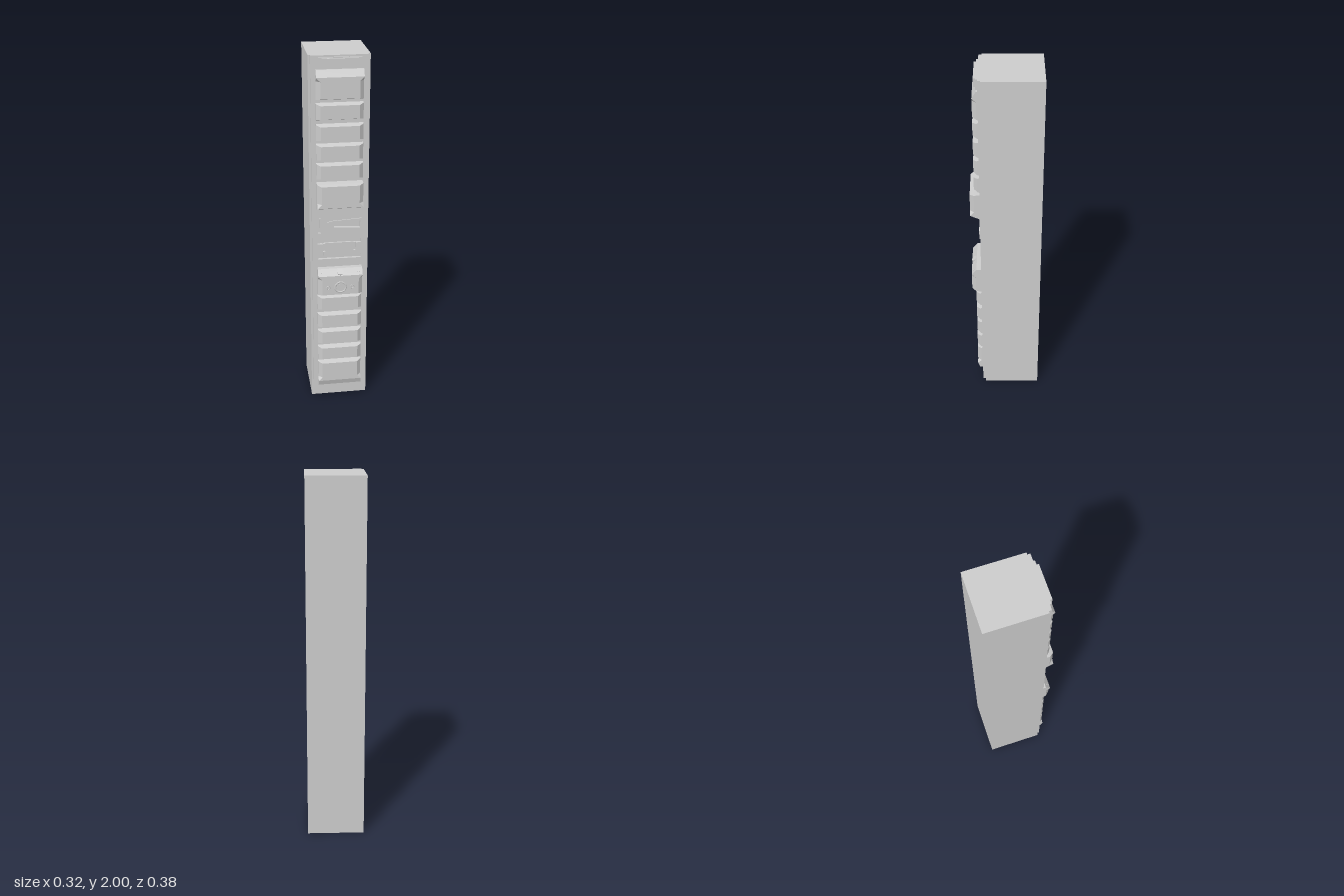
import * as THREE from 'three';
import { ConvexGeometry } from 'three/addons/geometries/ConvexGeometry.js';

const mat = new THREE.MeshStandardMaterial({ color: 0xcccccc, flatShading: true });
const W = 0.122, PANEL = 0.137;

export function createModel() {
  const root = new THREE.Group();

  const add = (name, geometry, x = 0, y = 0, z = 0, parent = root) => {
    const mesh = new THREE.Mesh(geometry, mat);
    mesh.name = name;
    mesh.position.set(x, y, z);
    parent.add(mesh);
    return mesh;
  };
  // Convex solid from [half width, y, z] triples mirrored across x
  const hull = (name, triples, parent = root) => add(name, new ConvexGeometry(
    triples.flatMap(([x, y, z]) => [new THREE.Vector3(x, y, z), new THREE.Vector3(-x, y, z)])), 0, 0, 0, parent);
  const outline = (Type, pts) => new Type(pts.map(([x, y]) => new THREE.Vector2(x, y)));
  const rect = (Type, x0, y0, x1, y1) => outline(Type, [[x0, y0], [x1, y0], [x1, y1], [x0, y1]]);
  const extrude = (shape, depth) => new THREE.ExtrudeGeometry(shape, { depth, bevelEnabled: false });

  // Cabinet body and front panel with recessed pockets
  add('cabinet', new THREE.BoxGeometry(0.316, 2, 0.312), 0, 1, -0.034);
  const panel = rect(THREE.Shape, -0.147, 0.012, 0.147, 2);
  panel.holes.push(
    outline(THREE.Path, [[-0.117, 1.04], [-0.1, 1.04], [-0.107, 1.05], [-0.107, 1.12], [-0.1, 1.13], [-0.117, 1.13]]),
    outline(THREE.Path, [[-0.03, 1.072], [0.112, 1.064], [0.112, 1.106], [-0.03, 1.102]]),
    outline(THREE.Path, [[-0.118, 0.885], [0.118, 0.885], [0.118, 0.91], [0.09, 0.91], [0.09, 0.975],
      [0.118, 0.975], [0.118, 1], [-0.118, 1], [-0.118, 0.975], [-0.09, 0.975], [-0.09, 0.91], [-0.118, 0.91]]));
  add('frontPanel', extrude(panel, PANEL - 0.122), 0, 0, 0.122);

  // Drawer block with chamfered sides and slightly bevelled top and bottom
  const block = (name, y0, y1, front = 0.167, parent = root) => hull(name, [
    [W, y0, PANEL], [W, y1, PANEL], [W, y0 + 0.004, front - 0.02], [W, y1 - 0.004, front - 0.02],
    [0.1, y0 + 0.01, front], [0.1, y1 - 0.01, front],
  ], parent);

  for (const y of [1.67, 1.56, 1.455, 1.35, 0.578, 0.466, 0.36, 0.254]) block('drawer', y, y + 0.091);

  // Tall drawer: chamfered block whose outer end widens into a sloped lip
  const tallDrawer = (name, plainY, lipY, front, slope, baseZ = PANEL) => {
    const group = new THREE.Group();
    group.name = name;
    root.add(group);
    const d = Math.sign(plainY - lipY);
    const edge = lipY + d * slope, end = edge + d * 0.022;
    hull('drawerBody', [
      [W, plainY, PANEL], [W, plainY - d * 0.004, front - 0.022], [0.1, plainY - d * 0.01, front],
      [W, edge, PANEL], [W, edge, front - 0.022], [0.1, edge, front],
    ], group);
    hull('drawerLip', [
      [W, lipY, PANEL], [W, lipY, baseZ], [W, edge, front],
      [W, end, PANEL], [W, end, front - 0.022], [0.1, end, front],
    ], group);
    return group;
  };
  tallDrawer('topDrawer', 1.775, 1.93, 0.167, 0.035, 0.145);
  tallDrawer('upperMiddleDrawer', 1.335, 1.18, 0.19, 0.024);
  const lock = tallDrawer('lockDrawer', 0.68, 0.838, 0.19, 0.034, 0.163);
  tallDrawer('bottomDrawer', 0.244, 0.085, 0.167, 0.033, 0.155);

  // Round lock and screws on the lock drawer
  add('lockRing', new THREE.TorusGeometry(0.03, 0.006, 8, 28), 0, 0.735, 0.187, lock);
  const disc = (name, r, x, y, z, depth, tilt = Math.PI / 2) => {
    add(name, new THREE.CylinderGeometry(r, r, depth, 20), x, y, z, lock).rotation.x = tilt;
  };
  disc('lockCore', 0.02, 0, 0.735, 0.189, 0.004);
  for (const s of [-1, 1]) {
    add('screwRing', new THREE.TorusGeometry(0.01, 0.003, 6, 16), s * 0.066, 0.735, 0.189, lock);
    disc('screw', 0.007, s * 0.066, 0.735, 0.189, 0.003);
    disc('lipScrew', 0.005, s * 0.1, 0.821, 0.1765, 0.004, 0.67);
  }
  disc('lipButton', 0.018, 0, 0.821, 0.1765, 0.008, 0.67);

  // Stepped plate at the top
  add('topPlateBase', new THREE.BoxGeometry(0.226, 0.054, 0.01), 0, 1.964, 0.142);
  add('topPlate', new THREE.BoxGeometry(0.184, 0.046, 0.012), 0, 1.964, 0.153);

  // Tapered handle frame
  const handle = outline(THREE.Shape, [[-0.068, 1.074], [-0.04, 1.064], [0.12, 1.05], [0.13, 1.058],
    [0.13, 1.112], [0.12, 1.12], [-0.04, 1.11], [-0.068, 1.102]]);
  handle.holes.push(outline(THREE.Path, [[-0.03, 1.072], [0.112, 1.064], [0.112, 1.106], [-0.03, 1.102]]));
  add('handle', extrude(handle, 0.007), 0, 0, PANEL - 0.001);

  // Slot insert with side clips
  add('slotInsert', new THREE.BoxGeometry(0.16, 0.07, 0.01), 0, 0.943, 0.127);
  for (const s of [-1, 1]) for (const y of [0.918, 0.966])
    add('slotClip', new THREE.BoxGeometry(0.012, 0.022, 0.014), s * 0.082, y, 0.13);

  return root;
}
